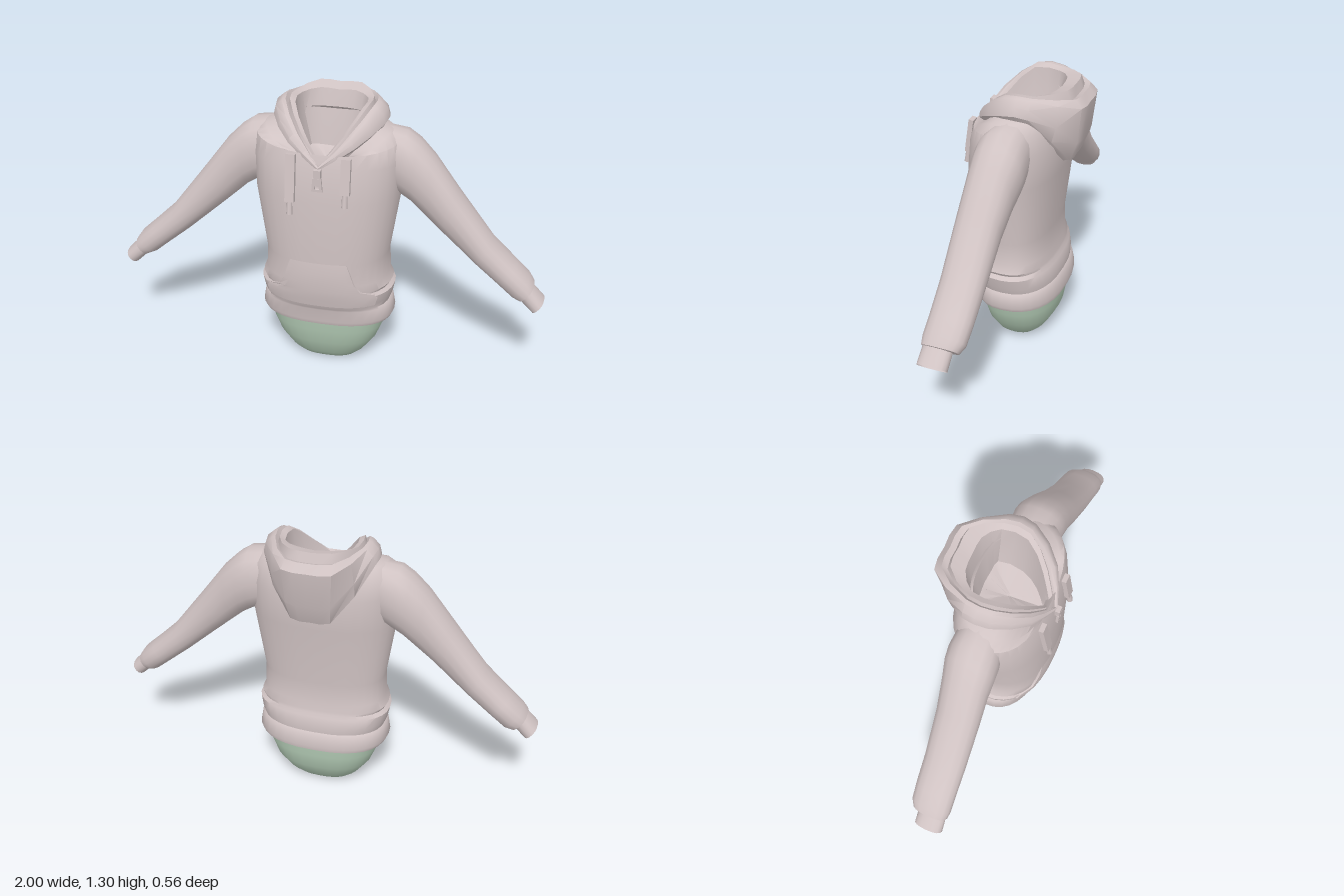
import * as THREE from 'three';
import { toCreasedNormals } from 'three/addons/utils/BufferGeometryUtils.js';

const cloth = new THREE.MeshStandardMaterial({ color: 0xd0c3c3, side: THREE.DoubleSide });
cloth.name = 'cloth';
const green = new THREE.MeshStandardMaterial({ color: 0xb2cab4, side: THREE.DoubleSide });
green.name = 'green body';

// Skin a list of closed rings (each an array of [x, y, z])
function loft(rings, crease = 0.75) {
  const n = rings[0].length, index = [];
  for (let r = 0; r < rings.length - 1; r++) {
    for (let i = 0; i < n; i++) {
      const a = r * n + i, b = r * n + ((i + 1) % n);
      index.push(a, a + n, b, b, a + n, b + n);
    }
  }
  const geo = new THREE.BufferGeometry();
  geo.setAttribute('position', new THREE.Float32BufferAttribute(rings.flat(2), 3));
  geo.setIndex(index);
  return toCreasedNormals(geo, crease);
}

function add(parent, name, geo, mat = cloth) {
  const mesh = new THREE.Mesh(geo, mat);
  mesh.name = name;
  parent.add(mesh);
  return mesh;
}

const pow = (v, p) => Math.sign(v) * Math.abs(v) ** p;
const angles = (n) => Array.from({ length: n }, (_, i) => (i / n) * Math.PI * 2);

// Horizontal rounded ring: height, half width, front z, back z, drop at the front
function bodyRing([y, w, front, back, dip = 0]) {
  const zc = 0.03;
  return angles(32).map((a) => {
    const s = pow(Math.sin(a), 0.85);
    const z = zc + s * (s > 0 ? front - zc : zc - back);
    return [w * pow(Math.cos(a), 0.8), y - dip * Math.max(0, s) ** 2, z];
  });
}

// Hem, rib band, side folds, chest and neckline
const TORSO = [
  [0.27, 0.27, 0.19, -0.15], [0.255, 0.305, 0.215, -0.18], [0.275, 0.315, 0.222, -0.183],
  [0.335, 0.305, 0.22, -0.172], [0.345, 0.295, 0.225, -0.162], [0.375, 0.305, 0.24, -0.163],
  [0.425, 0.315, 0.25, -0.152], [0.44, 0.297, 0.252, -0.142], [0.455, 0.306, 0.254, -0.14],
  [0.49, 0.29, 0.256, -0.13], [0.6, 0.285, 0.258, -0.128], [0.9, 0.33, 0.252, -0.163],
  [1.06, 0.335, 0.233, -0.175], [1.15, 0.325, 0.215, -0.15, 0.035],
  [1.19, 0.28, 0.205, -0.13, 0.09], [1.21, 0.19, 0.185, -0.11, 0.15],
];

// Front surface of the torso at (x, y)
function torsoFront(x, y) {
  const k = TORSO.findIndex((row, i) => i > 1 && row[0] >= y);
  const [a, b] = [TORSO[k - 1], TORSO[k]], t = (y - a[0]) / (b[0] - a[0]);
  const w = a[1] + (b[1] - a[1]) * t, f = a[2] + (b[2] - a[2]) * t;
  const c = Math.min(1, Math.abs(x) / w) ** 1.25;
  return 0.03 + (f - 0.03) * Math.sqrt(1 - c * c) ** 0.85;
}

// Sleeve ring between an upper and a lower outline point, with z limits
function sleeveRing([tx, ty, bx, by, back, front], side) {
  return angles(16).map((a) => {
    const c = pow(Math.cos(a), 0.85), s = -side * pow(Math.sin(a), 0.85);
    return [
      side * ((tx + bx) / 2 + ((tx - bx) / 2) * c),
      (ty + by) / 2 + ((ty - by) / 2) * c,
      (front + back) / 2 + ((front - back) / 2) * s,
    ];
  });
}

const SLEEVE = [
  [0.25, 1.195, 0.29, 0.91, -0.1, 0.11], [0.345, 1.182, 0.335, 0.885, -0.108, 0.125],
  [0.4, 1.145, 0.375, 0.86, -0.105, 0.125], [0.47, 1.075, 0.43, 0.81, -0.09, 0.122],
  [0.58, 0.93, 0.51, 0.74, -0.075, 0.125], [0.75, 0.71, 0.67, 0.6, -0.066, 0.127],
  [0.865, 0.6, 0.78, 0.51, -0.063, 0.128], [0.925, 0.545, 0.85, 0.452, -0.058, 0.13],
  [0.95, 0.51, 0.885, 0.437, -0.04, 0.125], [0.94, 0.493, 0.895, 0.45, -0.005, 0.11],
];
const CUFF = [
  [0.945, 0.502, 0.888, 0.445, -0.012, 0.118], [1.0, 0.445, 0.948, 0.388, -0.012, 0.122],
];

// Hood rings from the lower seam, over the rolled rim, down the inside:
// front y, z / side x, y / back corner x, y, z / bulge of the front edge
const HOOD = [
  [1.05, 0.225, 0.23, 1.18, 0.085, 0.965, -0.18, 0.035],
  [1.055, 0.243, 0.25, 1.213, 0.09, 0.975, -0.212, 0.04],
  [1.065, 0.245, 0.24, 1.253, 0.1, 1.07, -0.25, 0.04],
  [1.07, 0.24, 0.212, 1.282, 0.11, 1.235, -0.268, 0.035],
  [1.07, 0.235, 0.195, 1.288, 0.1, 1.27, -0.238, 0.025],
  [1.066, 0.23, 0.182, 1.267, 0.095, 1.26, -0.213, 0.02],
  [1.072, 0.225, 0.175, 1.29, 0.095, 1.302, -0.198, 0.02],
  [1.07, 0.208, 0.15, 1.278, 0.08, 1.285, -0.138, 0.015],
  [1.045, 0.195, 0.14, 1.18, 0.07, 1.18, -0.113, 0.015],
  [1.01, 0.18, 0.11, 1.03, 0.06, 1.03, -0.088, 0.015],
  [0.98, 0.035, 0.004, 0.98, 0.002, 0.98, 0.03, 0],
];

// One hood ring: a half curve from the front point to the back, then mirrored
function hoodRing([fy, fz, sx, sy, cx, cy, cz, bulge], row) {
  const reach = row < HOOD.length - 1 ? 1 : 0.05;
  const zs = 0.04 * reach, zb = -0.08 * reach;
  const half = new THREE.CatmullRomCurve3([
    [0, fy, fz],
    [sx / 2 + bulge * 0.5, (fy + sy) / 2 + bulge * 0.2, (fz + zs) / 2 + bulge],
    [sx, sy, zs],
    [sx, sy, zb],
    [cx, cy, cz],
    [0, cy - 0.006, cz - 0.006],
  ].map((p) => new THREE.Vector3(...p))).getPoints(10).map((p) => p.toArray());
  return [...half.map(([x, y, z]) => [-x, y, z]), ...half.slice(1, -1).reverse()];
}

// Raised front pocket that follows the torso, flaring below the hand openings
function pocketGeometry() {
  const rows = [[0.375, 0.25], [0.41, 0.26], [0.435, 0.245], [0.46, 0.19], [0.5, 0.163], [0.55, 0.148], [0.605, 0.13]];
  return loft(rows.map(([y, w], r) => {
    const lift = r === rows.length - 1 ? 0.002 : 0.009;
    const ring = [];
    for (let i = 0; i <= 12; i++) {
      const x = w * (1 - i / 6);
      ring.push([x, y, torsoFront(x, y) + lift]);
    }
    for (const x of [-w, w]) ring.push([x, y, torsoFront(x, y) - 0.012]);
    return ring;
  }), 0.6);
}

// Symmetric four-sided outline: top y, half width / bottom y, half width
function trapezoid(PathType, y0, w0, y1, w1) {
  return new PathType([[-w0, y0], [w0, y0], [w1, y1], [-w1, y1]].map((p) => new THREE.Vector2(...p)));
}

export function createModel() {
  const model = new THREE.Group();
  model.name = 'hoodedSweatshirt';

  // Rounded green body below the hem
  const lower = [
    [0.004, 0.001, 0.032, 0.028], [0.005, 0.09, 0.085, -0.03], [0.018, 0.145, 0.125, -0.07],
    [0.05, 0.18, 0.15, -0.1], [0.125, 0.235, 0.18, -0.143], [0.2, 0.265, 0.195, -0.156], [0.29, 0.28, 0.203, -0.16],
  ];
  add(model, 'lowerBody', loft(lower.map(bodyRing), 1), green);

  add(model, 'torso', loft(TORSO.map(bodyRing)));
  add(model, 'pocket', pocketGeometry());
  add(model, 'hood', loft(HOOD.map(hoodRing), 0.7));

  for (const side of [1, -1]) {
    const label = side > 0 ? 'left' : 'right';
    add(model, label + 'Sleeve', loft(SLEEVE.map((r) => sleeveRing(r, side))));
    add(model, label + 'Cuff', loft(CUFF.map((r) => sleeveRing(r, side))));

    // Drawstring with a narrow tip; the right one hangs lower
    const length = side > 0 ? 0.16 : 0.215;
    const cord = new THREE.Group();
    cord.name = label + 'Drawstring';
    add(cord, 'cord', new THREE.BoxGeometry(0.042, length, 0.022)).position.y = -length / 2;
    add(cord, 'cordTip', new THREE.CylinderGeometry(0.012, 0.014, 0.06, 8)).position.y = -length - 0.028;
    cord.position.set(side * 0.122, 1.115, 0.228);
    cord.rotation.x = -0.15;
    model.add(cord);
  }

  // Zip slider and pull tab with a slot
  const zip = new THREE.Group();
  zip.name = 'zip';
  const tab = trapezoid(THREE.Shape, 0, 0.019, -0.062, 0.024);
  tab.holes.push(trapezoid(THREE.Path, -0.036, 0.009, -0.051, 0.011));
  const pull = add(zip, 'pullTab', new THREE.ExtrudeGeometry(tab, { depth: 0.012, bevelEnabled: false }));
  pull.position.set(0, 1.025, 0.25);
  add(zip, 'slider', new THREE.BoxGeometry(0.032, 0.045, 0.022)).position.set(0, 1.04, 0.25);
  model.add(zip);

  return model;
}
